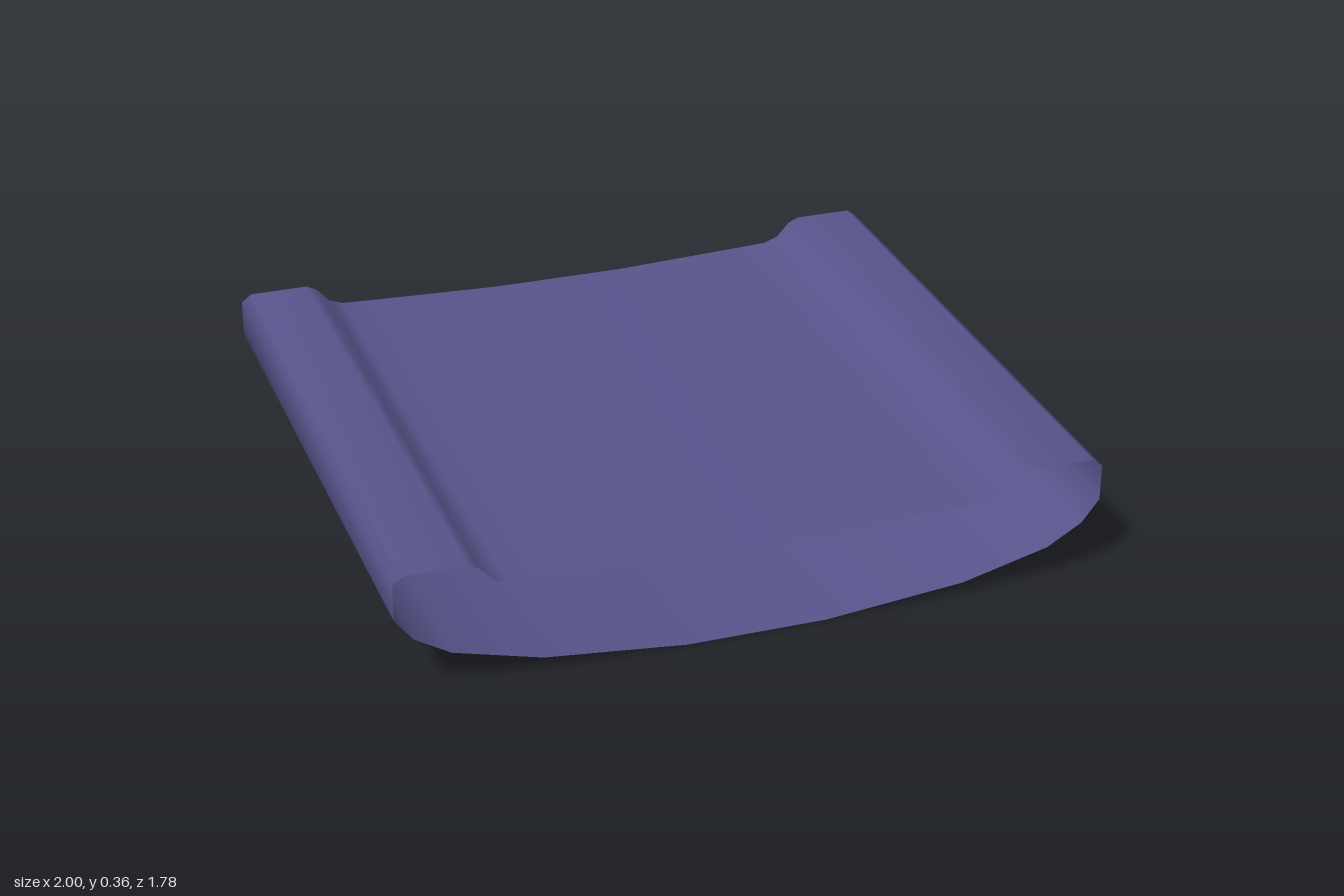
import * as THREE from 'three';

// Right half of the cross-section, from the bottom centre round to the top centre.
const HALF = [
  [0.2, 0], [0.6, 0.04], [0.85, 0.105], [0.95, 0.165], [1, 0.23],
  [1, 0.335], [0.97, 0.357], [0.8, 0.357], [0.77, 0.343],
  [0.73, 0.3], [0.69, 0.285], [0.6, 0.281], [0.2, 0.266],
];
const HALF_DEPTH = 0.89;

// Open-ended sleeve: a closed outline swept along z, with shared vertices for smooth shading.
function sleeveGeometry(outline, halfDepth) {
  const positions = [];
  const index = [];
  const n = outline.length;
  outline.forEach(([x, y], i) => {
    positions.push(x, y, halfDepth, x, y, -halfDepth);
    const a = 2 * i;
    const b = 2 * ((i + 1) % n);
    index.push(a, a + 1, b, b, a + 1, b + 1);
  });
  const geometry = new THREE.BufferGeometry();
  geometry.setAttribute('position', new THREE.Float32BufferAttribute(positions, 3));
  geometry.setIndex(index);
  geometry.computeVertexNormals();
  return geometry;
}

export function createModel() {
  const group = new THREE.Group();
  group.name = 'curvedSleeve';

  // Mirror the half outline to close the loop.
  const outline = [...HALF, ...HALF.map(([x, y]) => [-x, y]).reverse()];

  const material = new THREE.MeshStandardMaterial({ color: 0x59548c, side: THREE.DoubleSide });
  const shell = new THREE.Mesh(sleeveGeometry(outline, HALF_DEPTH), material);
  shell.name = 'shell';
  group.add(shell);
  return group;
}
